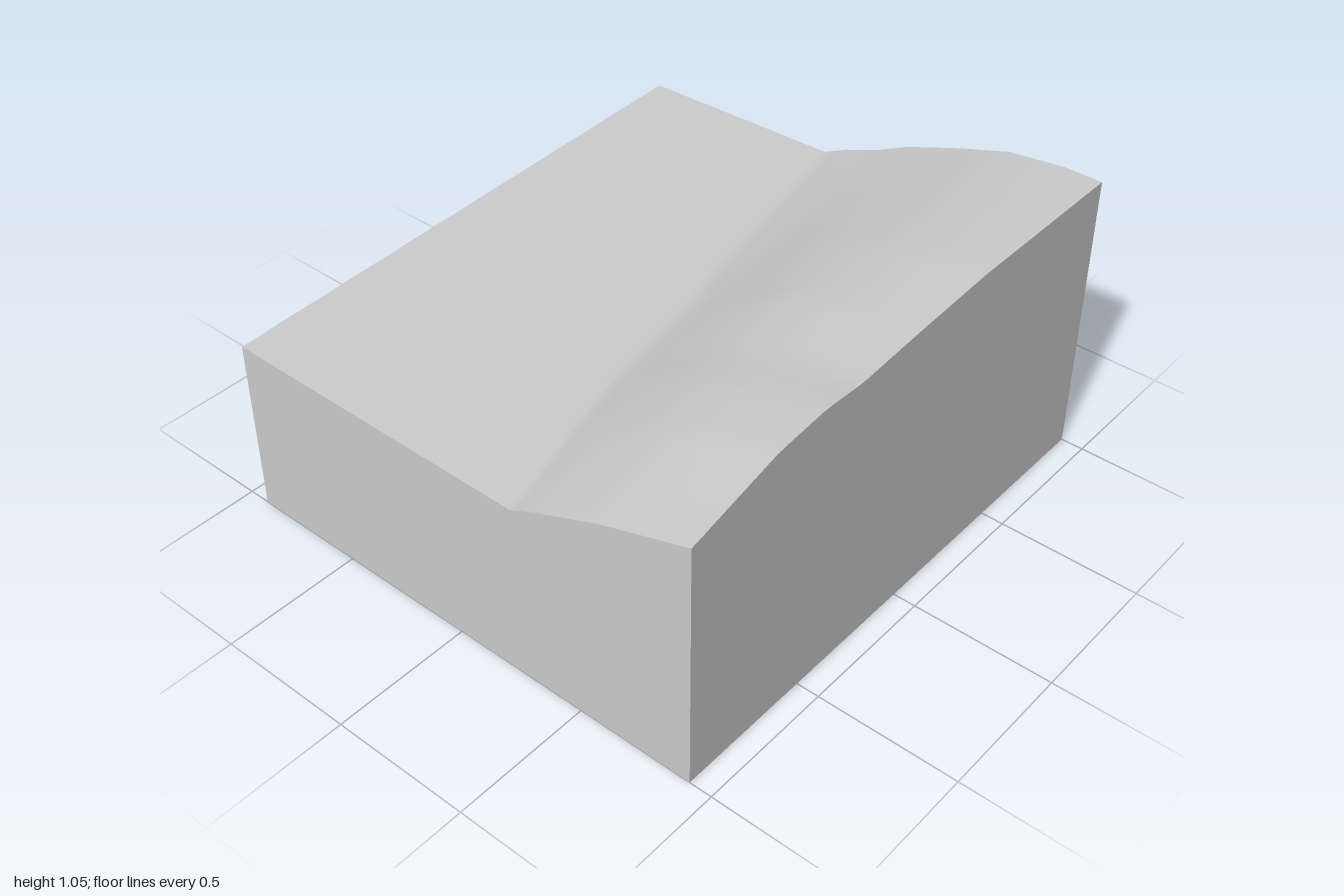
import * as THREE from 'three';

const HALF_X = 0.92;

// Piecewise linear lookup in a list of [position, value] points
function sample(points, t) {
  for (let i = 1; i < points.length; i++) {
    const [a, va] = points[i - 1], [b, vb] = points[i];
    if (t <= b) return va + (vb - va) * Math.max(0, (t - a) / (b - a));
  }
  return points[points.length - 1][1];
}

// Curves along z: x of the foot of the slope, and height of the right edge
const footX = [[-1, -0.15], [-0.9, -0.125], [0.33, 0.08], [0.6, 0.14], [1, 0.25]];
const ridgeY = [[-1, 1.053], [-0.35, 1.05], [0, 1.03], [0.2, 1.015], [0.27, 1.01], [0.43, 1.02], [0.64, 1], [1, 0.91]];

// Rise of the slope from foot (0) to right edge (1)
const backRise = [[0, 0], [0.084, 0.14], [0.206, 0.3], [0.318, 0.49], [0.495, 0.714], [0.682, 0.92], [0.869, 1], [1, 1]];
const middleRise = [[0, 0], [0.08, 0.09], [0.22, 0.33], [0.43, 0.67], [0.65, 0.88], [0.85, 0.98], [1, 1]];
const frontRise = [[0, 0], [0.15, 0.19], [0.51, 0.577], [1, 1]];

// Point of the ground: s from -1 to 0 is the level part, 0 to 1 the slope
function groundPoint(s, z) {
  const fx = sample(footX, z);
  const footY = THREE.MathUtils.mapLinear(z, -1, 1, 0.735, 0.65);
  const leftY = THREE.MathUtils.mapLinear(z, -1, 1, 0.715, 0.65);
  if (s <= 0) {
    return new THREE.Vector3(
      THREE.MathUtils.lerp(fx, -HALF_X, -s), THREE.MathUtils.lerp(footY, leftY, -s), z);
  }
  const w = Math.max(0, z);
  const b = Math.max(0, -z);
  const rise = sample(middleRise, s) * (1 - w - b) + sample(backRise, s) * b + sample(frontRise, s) * w;
  return new THREE.Vector3(
    THREE.MathUtils.lerp(fx, HALF_X, s), THREE.MathUtils.lerp(footY, sample(ridgeY, z), rise), z);
}

function makeGeometry(points, index) {
  const geometry = new THREE.BufferGeometry().setFromPoints(points);
  if (index) geometry.setIndex(index);
  geometry.computeVertexNormals();
  return geometry;
}

export function createModel() {
  const group = new THREE.Group();
  group.name = 'terrainBlock';
  const material = new THREE.MeshStandardMaterial({ color: 0xcccccc });
  const add = (name, geometry) => {
    const mesh = new THREE.Mesh(geometry, material);
    mesh.name = name;
    group.add(mesh);
  };

  // Ground: level field on the left, hillside on the right
  const columns = [-1, -0.6, -0.25, -0.05, 0, 0.04, 0.084, 0.15, 0.206, 0.318, 0.43, 0.51, 0.6, 0.682, 0.77, 0.869, 1];
  const rows = 40;
  const n = columns.length;
  const grid = [], index = [];
  for (let j = 0; j <= rows; j++) {
    for (const s of columns) grid.push(groundPoint(s, -1 + (2 * j) / rows));
  }
  for (let j = 0; j < rows; j++) {
    for (let i = 0; i < n - 1; i++) {
      const a = j * n + i, b = a + n;
      index.push(a, b, a + 1, a + 1, b, b + 1);
    }
  }
  add('groundSurface', makeGeometry(grid, index));

  // Walls: follow the rim of the ground around and drop it to the base
  const rim = [];
  for (let i = 0; i < n - 1; i++) rim.push(grid[rows * n + i]);
  for (let j = rows; j > 0; j--) rim.push(grid[j * n + n - 1]);
  for (let i = n - 1; i > 0; i--) rim.push(grid[i]);
  for (let j = 0; j < rows; j++) rim.push(grid[j * n]);
  const walls = [];
  rim.forEach((p, k) => {
    const q = rim[(k + 1) % rim.length];
    const p0 = p.clone().setY(0), q0 = q.clone().setY(0);
    walls.push(p, p0, q, q, p0, q0);
  });
  add('sideWalls', makeGeometry(walls));

  // Base
  add('base', new THREE.PlaneGeometry(2 * HALF_X, 2).rotateX(Math.PI / 2));
  return group;
}
